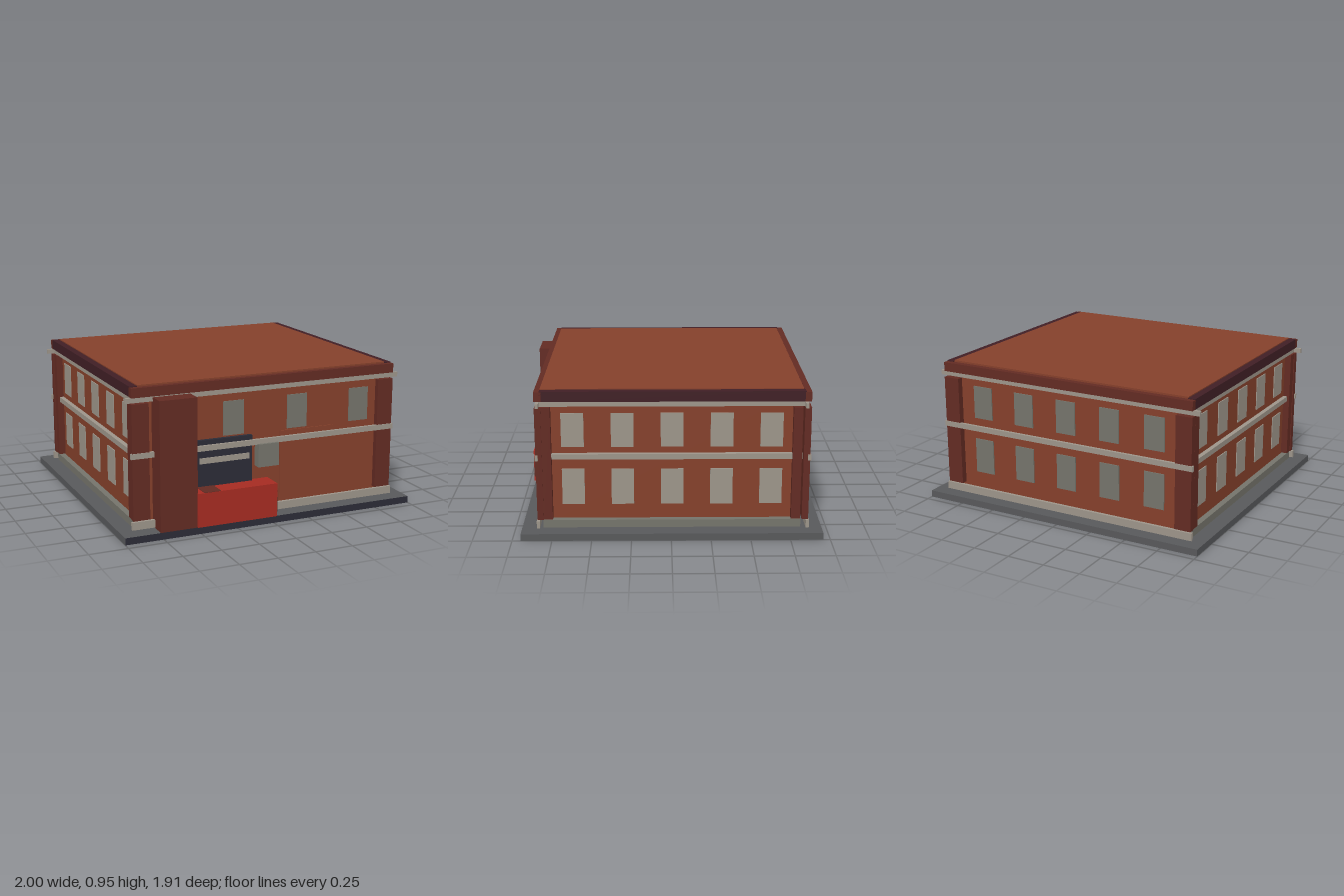
import * as THREE from 'three';

export function createModel() {
  const model = new THREE.Group();
  const mat = (name, color) => {
    const m = new THREE.MeshStandardMaterial({ color });
    m.name = name;
    return m;
  };
  const brick = mat('brick', 0x85402b);
  const darkBrick = mat('darkBrick', 0x632b23);
  const coping = mat('coping', 0x401f25);
  const stone = mat('stone', 0x9d958a);
  const greyStone = mat('greyStone', 0x75746b);
  const slate = mat('slate', 0x2b2b36);
  const paving = mat('paving', 0x58595b);
  const red = mat('red', 0xa62b22);

  // Box given by its limits on each axis
  const box = (name, material, x0, x1, y0, y1, z0, z1, parent = model) => {
    const mesh = new THREE.Mesh(new THREE.BoxGeometry(x1 - x0, y1 - y0, z1 - z0), material);
    mesh.position.set((x0 + x1) / 2, (y0 + y1) / 2, (z0 + z1) / 2);
    mesh.name = name;
    parent.add(mesh);
    return mesh;
  };
  const group = (name) => {
    const g = new THREE.Group();
    g.name = name;
    model.add(g);
    return g;
  };

  // Ground slab with a dark front edge, and the main block
  box('groundSlab', [paving, paving, paving, paving, slate, paving], -1, 1, 0, 0.045, -0.955, 0.945);
  box('walls', brick, -0.86, 0.86, 0.045, 0.95, -0.82, 0.81);

  // Parapet
  const parapet = group('parapet');
  box('frontParapet', darkBrick, -0.91, 0.91, 0.88, 0.94, 0.8, 0.846, parapet);
  box('backParapet', darkBrick, -0.91, 0.91, 0.88, 0.94, -0.865, -0.825, parapet);

  // Horizontal bands on the front and back: base, middle, top
  const bands = group('bands');
  for (const [y0, y1, w] of [[0.05, 0.1, 0.92], [0.5, 0.535, 0.92], [0.847, 0.878, 0.95]]) {
    const front = w > 0.93 ? 0.835 : 0.85;
    const back = w > 0.93 ? -0.845 : -0.872;
    box('frontBand', stone, -w, w, y0, y1, front - 0.02, front, bands);
    box('backBand', stone, -w, w, y0, y1, back, back + 0.02, bands);
  }

  // Side walls, mirrored
  const windows = group('windows');
  const piers = group('piers');
  const rows = [[0.195, 0.43], [0.575, 0.795]];
  for (const s of [-1, 1]) {
    const side = (name, material, a, b, y0, y1, z0, z1, parent) =>
      box(name, material, Math.min(s * a, s * b), Math.max(s * a, s * b), y0, y1, z0, z1, parent);
    side('sideParapet', coping, 0.862, 0.91, 0.88, 0.945, -0.83, 0.812, parapet);
    side('sideBaseBand', greyStone, 0.85, 0.9, 0.05, 0.1, -0.82, 0.81, bands);
    side('sideMiddleBand', stone, 0.85, 0.89, 0.5, 0.535, -0.82, 0.81, bands);
    side('sideTopBand', stone, 0.85, 0.9, 0.847, 0.878, -0.845, 0.83, bands);
    side('frontPier', darkBrick, 0.8, 0.91, 0.105, 0.84, 0.805, 0.845, piers);
    side('backPier', darkBrick, 0.8, 0.91, 0.105, 0.84, -0.867, -0.826, piers);
    side('sideFrontPier', darkBrick, 0.85, 0.905, 0.105, 0.84, 0.748, 0.805, piers);
    side('sideBackPier', darkBrick, 0.85, 0.905, 0.105, 0.84, -0.815, -0.758, piers);
    for (const [y0, y1] of rows)
      for (let i = -2; i <= 2; i++) {
        const z = -0.006 + i * 0.311;
        side('sideWindow', stone, 0.859, 0.866, y0, y1, z - 0.071, z + 0.071, windows);
      }
  }

  // Back and front windows
  for (const [y0, y1] of rows)
    for (let i = -2; i <= 2; i++)
      box('backWindow', greyStone, i * 0.318 - 0.07, i * 0.318 + 0.07, y0, y1, -0.827, -0.819, windows);
  for (const x of [-0.225, 0.22, 0.67])
    box('frontWindow', greyStone, x - 0.07, x + 0.07, 0.575, 0.795, 0.809, 0.817, windows);
  box('smallWindow', greyStone, -0.52, -0.43, 0.27, 0.375, 0.809, 0.816, windows);
  box('projectingWindow', greyStone, -0.075, 0.068, 0.355, 0.505, 0.81, 0.868, windows);

  // Front features
  box('doorPanel', brick, 0.1, 0.485, 0.105, 0.565, 0.809, 0.818);
  box('tower', darkBrick, -0.77, -0.525, 0.045, 0.872, 0.8, 0.945);
  box('entrancePanel', slate, -0.487, -0.105, 0.2, 0.565, 0.805, 0.835);
  box('entranceStrip', stone, -0.468, -0.125, 0.415, 0.452, 0.834, 0.841);

  // Low red porch with a dark end panel and a dark plate on top
  const porch = group('porch');
  box('porchBlock', red, -0.527, 0.016, 0.046, 0.265, 0.8, 0.955, porch);
  box('porchEnd', darkBrick, 0.015, 0.02, 0.075, 0.215, 0.815, 0.953, porch);
  box('porchTopPlate', darkBrick, -0.483, -0.373, 0.262, 0.268, 0.836, 0.954, porch);

  return model;
}
